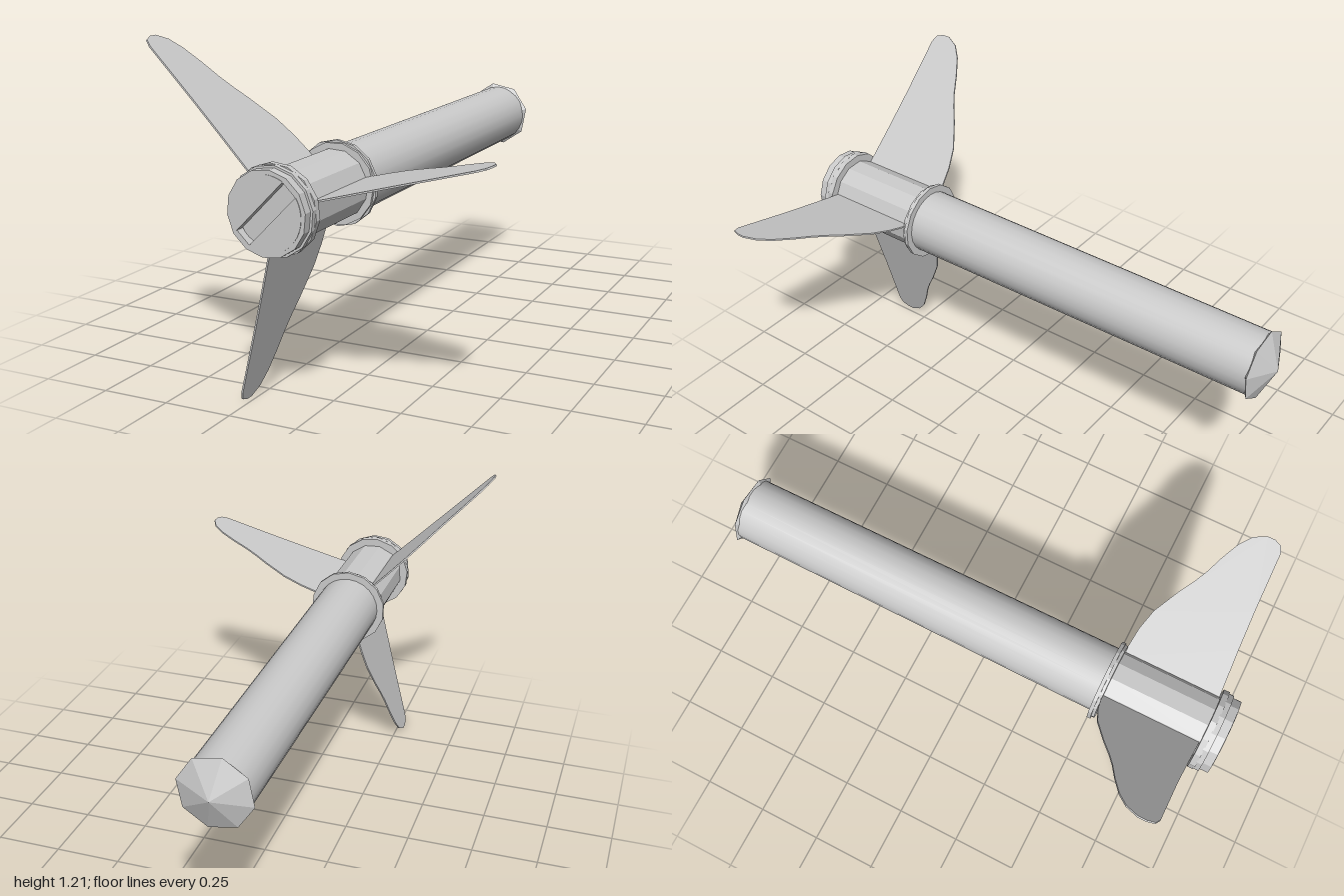
import * as THREE from 'three';

const smooth = new THREE.MeshStandardMaterial({ color: 0xcccccc, side: THREE.DoubleSide });
const flat = new THREE.MeshStandardMaterial({ color: 0xcccccc, side: THREE.DoubleSide, flatShading: true });

export function createModel() {
  const model = new THREE.Group();
  model.name = 'arrow';
  // Everything is built around the local z axis, nock at +z, tip at -z.
  model.position.set(-0.088, 0.702, 0);

  const add = (name, geometry, material, parent = model) => {
    const mesh = new THREE.Mesh(geometry, material);
    mesh.name = name;
    parent.add(mesh);
    return mesh;
  };
  // Cylinder along z from z0 (radius r0) to z1 (radius r1)
  const rod = (z0, r0, z1, r1, sides) =>
    new THREE.CylinderGeometry(r1, r0, z1 - z0, sides).rotateX(Math.PI / 2).translate(0, 0, (z0 + z1) / 2);
  // Square-edged hoop around z
  const band = (z0, z1, inner, outer, sides) => {
    const profile = [[inner, z0], [outer, z0], [outer, z1], [inner, z1], [inner, z0]];
    return new THREE.LatheGeometry(profile.map(([r, z]) => new THREE.Vector2(r, z)), sides).rotateX(Math.PI / 2);
  };

  // Shaft: long smooth rod, then a faceted section under the fletching
  add('shaft', rod(-0.945, 0.118, 0.545, 0.123, 24), smooth);
  add('fletchedShaft', rod(0.54, 0.123, 0.97, 0.123, 12).rotateZ(0.2), flat);

  // Low eight-sided tip with a slight lip
  add('tip', rod(-1, 0, -0.945, 0.134, 8).rotateZ(0.2), flat);
  add('tipLip', rod(-0.945, 0.134, -0.935, 0.119, 8).rotateZ(0.2), flat);

  // Bindings: slightly uneven wraps of cord
  const wraps = [
    ['frontBinding', 0.529, 0.543, 0.151, 0], ['frontBinding', 0.54, 0.554, 0.145, 0.25],
    ['rearBinding', 0.925, 0.948, 0.152, 0.1], ['rearBinding', 0.944, 0.966, 0.15, 0.35],
  ];
  for (const [name, z0, z1, r, turn] of wraps) {
    add(name, band(z0, z1, 0.118, r, 14).rotateZ(turn), flat);
  }

  // Nock: rim and two raised halves with a diagonal slot between them
  const nock = new THREE.Group();
  nock.name = 'nock';
  nock.rotation.z = Math.PI / 4;
  model.add(nock);
  add('nockRim', band(0.96, 0.998, 0.123, 0.142, 14), flat, nock);
  const halfSlot = 0.031, radius = 0.126, start = Math.asin(halfSlot / radius);
  for (const turn of [0, Math.PI]) {
    const shape = new THREE.Shape();
    shape.absarc(0, 0, radius, start, Math.PI - start, false);
    shape.closePath();
    const half = new THREE.ExtrudeGeometry(shape, { depth: 0.04, bevelEnabled: false, curveSegments: 16 });
    add('nockHalf', half.translate(0, 0, 0.96).rotateZ(turn), smooth, nock);
  }

  // Three thin swept fins; shape coordinates are (distance from axis, z)
  const outline = [
    [0.1, 0.548], [0.15, 0.553], [0.22, 0.56], [0.3, 0.58], [0.4, 0.63], [0.46, 0.665], [0.51, 0.69],
    [0.58, 0.717], [0.65, 0.75], [0.695, 0.785], [0.719, 0.83], [0.719, 0.86], [0.708, 0.888],
    [0.68, 0.899], [0.45, 0.905], [0.3, 0.912], [0.1, 0.924],
  ];
  const thickness = 0.006;
  const finShape = new THREE.Shape(outline.map(([r, z]) => new THREE.Vector2(r, z)));
  const fin = new THREE.ExtrudeGeometry(finShape, { depth: thickness, bevelEnabled: false })
    .translate(0, 0, -thickness / 2).rotateX(Math.PI / 2);
  for (const degrees of [15, 135, 255]) {
    add('fin', fin, flat).rotation.z = THREE.MathUtils.degToRad(degrees);
  }

  return model;
}
